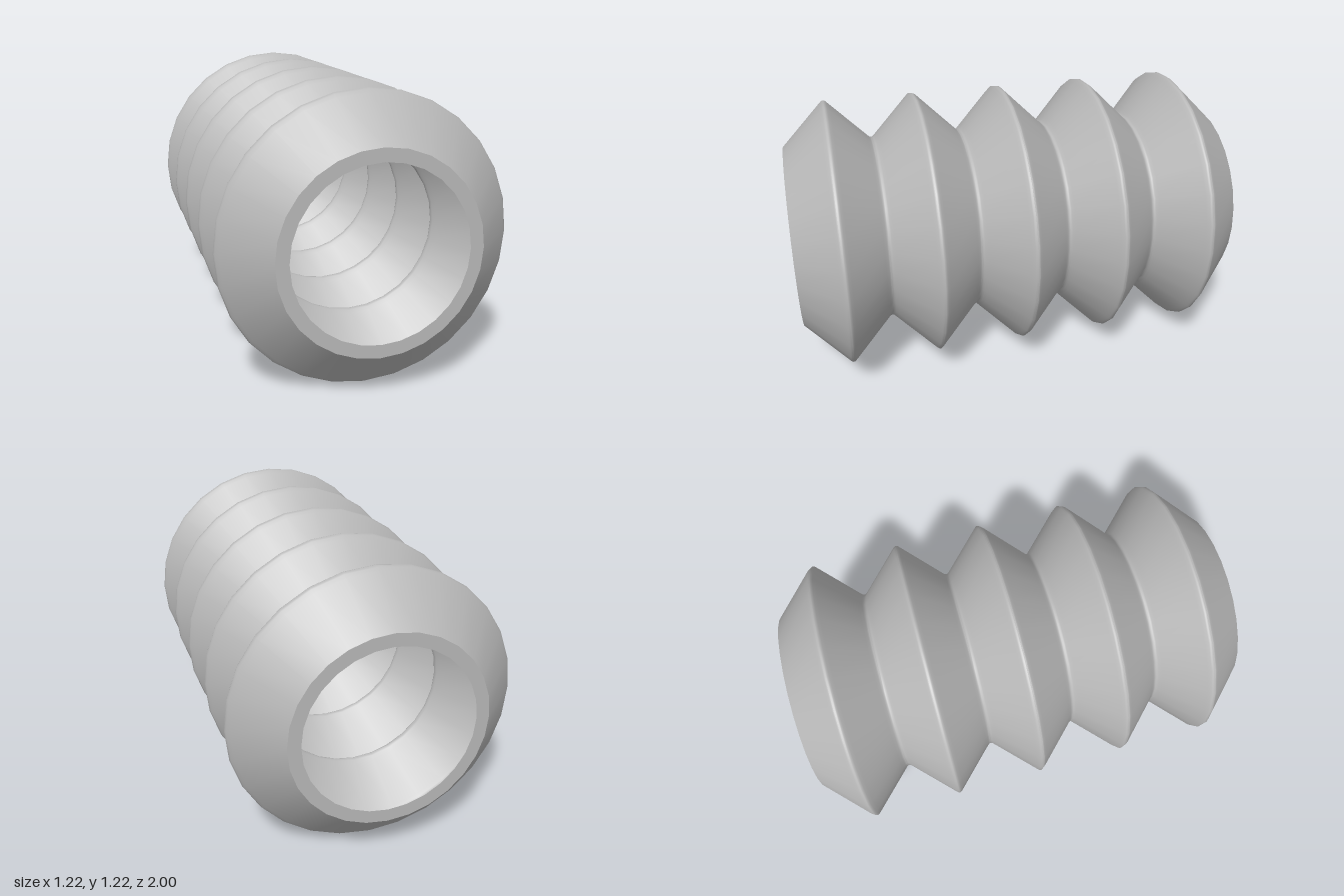
import * as THREE from 'three';
import { toCreasedNormals } from 'three/addons/utils/BufferGeometryUtils.js';

const FOLDS = 5, PITCH = 0.4, SIDES = 28;
const ROUND = 0.012; // half-width of the softened ridges and grooves
const AXIS_HEIGHT = 0.609;

// Zigzag wall from z = -1 to 1, with each ridge and groove slightly rounded
function zigzag(endRadius) {
  const points = [new THREE.Vector2(endRadius, -1)];
  const half = PITCH / 2;
  for (let i = 1; i < FOLDS * 2; i++) {
    const ridge = i % 2 === 1;
    const z = -1 + i * half;
    const tip = endRadius + (ridge ? half : 0);
    const inward = ridge ? -1 : 1;
    for (const t of [-2, -1, -0.5, 0, 0.5, 1, 2]) {
      const a = Math.abs(t);
      const drop = a >= 1 ? a : (1 + a * a) / 2;
      points.push(new THREE.Vector2(tip + inward * drop * ROUND, z + t * ROUND));
    }
  }
  points.push(new THREE.Vector2(endRadius, 1));
  return points;
}

export function createModel() {
  const group = new THREE.Group();
  group.name = 'bellows';

  const grey = new THREE.MeshStandardMaterial({ color: 0xb8b8b8 });
  grey.name = 'grey rubber';

  // Closed section: outer wall, front lip, inner wall, back lip
  const outer = zigzag(0.415);
  const inner = zigzag(0.36).reverse();
  const profile = [...outer, ...inner, outer[0].clone()];

  const geometry = toCreasedNormals(new THREE.LatheGeometry(profile, SIDES), 0.6);
  geometry.rotateX(Math.PI / 2);

  const sleeve = new THREE.Mesh(geometry, grey);
  sleeve.name = 'bellowsSleeve';
  sleeve.position.y = AXIS_HEIGHT;
  group.add(sleeve);
  return group;
}
